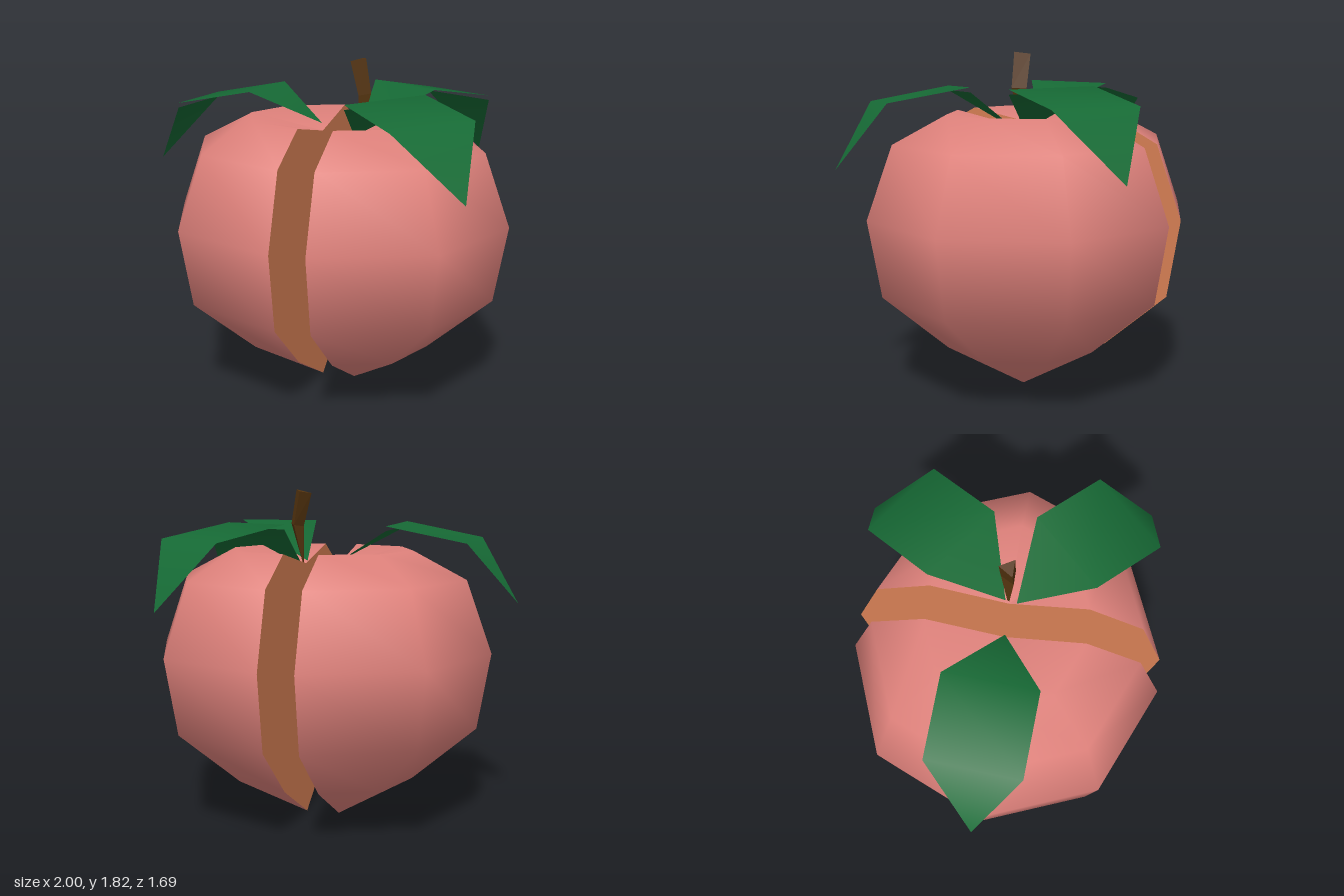
import * as THREE from 'three';

const skin = new THREE.MeshStandardMaterial({ color: 0xe0827c });
const flesh = new THREE.MeshStandardMaterial({ color: 0xd67f54 });
const leafGreen = new THREE.MeshStandardMaterial({ color: 0x166a35 });
const bark = new THREE.MeshStandardMaterial({ color: 0x55340f, flatShading: true });

// Radius and height of the fruit, from the pointed bottom to the dimple
const profile = [[0, 0], [0.42, 0.24], [0.77, 0.545], [0.84, 0.96], [0.7, 1.35], [0.41, 1.5], [0, 1.42]]
  .map(([r, y]) => new THREE.Vector2(r, y));

function mesh(name, geometry, material) {
  const m = new THREE.Mesh(geometry, material);
  m.name = name;
  return m;
}

function indexed(points, faces) {
  const g = new THREE.BufferGeometry();
  g.setAttribute('position', new THREE.Float32BufferAttribute(points.flat(), 3));
  g.setIndex(faces.flat());
  g.computeVertexNormals();
  return g;
}

// Half a fruit: side +1 bulges to +x, side -1 to -x
function fruitHalf(name, side) {
  const half = new THREE.Group();
  half.name = name;
  half.add(mesh('skin', new THREE.LatheGeometry(profile, 4, side > 0 ? 0 : Math.PI, Math.PI), skin));
  const mirrored = profile.slice(1, -1).reverse().map((p) => new THREE.Vector2(-p.x, p.y));
  const cut = new THREE.ShapeGeometry(new THREE.Shape([...profile, ...mirrored]));
  cut.rotateY(-side * Math.PI / 2);
  half.add(mesh('cutFace', cut, flesh));
  return half;
}

// Bent leaf of two thin sheets: base, two pairs of side points, tip
function leaf(name, points) {
  const top = [[0, 1, 2], [1, 3, 4], [1, 4, 2], [3, 5, 4]];
  const bottom = top.map(([a, b, c]) => [a + 6, c + 6, b + 6]);
  const under = points.map(([x, y, z]) => [x, y - 0.025, z]);
  return mesh(name, indexed([...points, ...under], [...top, ...bottom]), leafGreen);
}

// Three-sided bent stem, pointed at the foot
function stem() {
  const rings = [
    [[0.17, 1.42, -0.01], [0.175, 1.42, -0.01], [0.172, 1.42, -0.02]],
    [[0.175, 1.62, 0.01], [0.245, 1.635, 0.01], [0.21, 1.63, -0.06]],
    [[0.13, 1.8, 0.01], [0.215, 1.82, 0.01], [0.175, 1.81, -0.065]],
  ];
  const faces = [[6, 7, 8]];
  for (let r = 0; r < 2; r++) {
    for (let i = 0; i < 3; i++) {
      const a = r * 3 + i, b = r * 3 + (i + 1) % 3;
      faces.push([a, b, b + 3], [a, b + 3, a + 3]);
    }
  }
  return mesh('stem', indexed(rings.flat(), faces), bark);
}

export function createModel() {
  const model = new THREE.Group();
  model.name = 'halvedFruit';

  const leftHalf = fruitHalf('leftHalf', 1);
  leftHalf.position.set(0.158, 0, -0.008);
  const rightHalf = fruitHalf('rightHalf', -1);
  rightHalf.position.set(-0.027, 0, 0);
  model.add(leftHalf, rightHalf, stem());

  model.add(
    leaf('rightLeaf', [[-0.03, 1.46, 0], [-0.34, 1.64, -0.26], [-0.36, 1.645, 0.225],
      [-0.76, 1.56, -0.275], [-0.78, 1.565, 0.21], [-1, 1.235, -0.01]]),
    leaf('backLeaf', [[0.17, 1.43, -0.03], [0.55, 1.645, -0.15], [0.15, 1.65, -0.42],
      [0.785, 1.575, -0.51], [0.38, 1.575, -0.775], [0.685, 1.235, -0.845]]),
    leaf('frontLeaf', [[0.16, 1.43, 0.03], [0.22, 1.635, 0.42], [0.55, 1.65, 0.07],
      [0.53, 1.56, 0.71], [0.86, 1.58, 0.355], [0.885, 1.235, 0.67]]),
  );
  return model;
}
